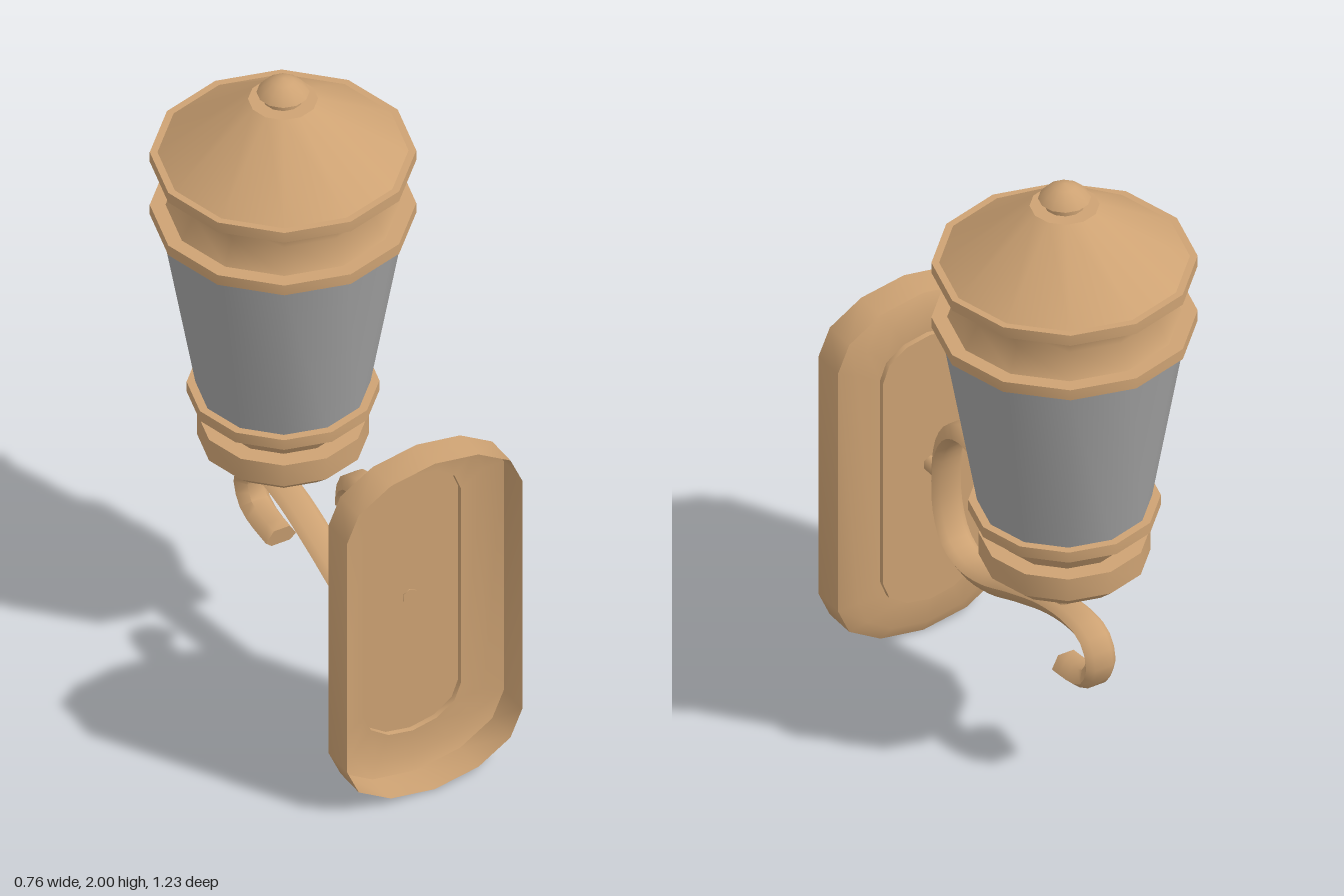
import * as THREE from 'three';
import { toCreasedNormals } from 'three/addons/utils/BufferGeometryUtils.js';

// Skin a list of equal-length point loops, optionally closing the ends.
function loft(loops, capStart, capEnd, crease) {
  const n = loops[0].length, idx = [];
  loops.slice(1).forEach((_, i) => {
    for (let j = 0; j < n; j++) {
      const k = (j + 1) % n;
      const a = i * n + j, b = i * n + k, c = b + n, d = a + n;
      idx.push(a, b, c, a, c, d);
    }
  });
  const last = (loops.length - 1) * n;
  for (let j = 1; j < n - 1; j++) {
    if (capStart) idx.push(0, j + 1, j);
    if (capEnd) idx.push(last, last + j, last + j + 1);
  }
  const g = new THREE.BufferGeometry();
  g.setAttribute('position', new THREE.Float32BufferAttribute(loops.flat(2), 3));
  g.setIndex(idx);
  return toCreasedNormals(g, crease);
}

// Upright outline with half-ellipse ends, six steps per end.
function plateLoop(hw, y0, y1, ry, z) {
  const pts = [];
  for (let i = 0; i <= 6; i++) {
    const a = (i / 6) * Math.PI;
    pts.push([hw * Math.cos(a), y1 - ry + ry * Math.sin(a), z]);
  }
  for (let i = 0; i <= 6; i++) {
    const a = Math.PI + (i / 6) * Math.PI;
    pts.push([hw * Math.cos(a), y0 + ry + ry * Math.sin(a), z]);
  }
  return pts;
}

export function createModel() {
  const group = new THREE.Group();
  const bronze = new THREE.MeshStandardMaterial({ color: 0xcda273, side: THREE.DoubleSide });
  bronze.name = 'bronze';
  const glass = new THREE.MeshStandardMaterial({ color: 0xa3a3a3, side: THREE.DoubleSide });
  glass.name = 'greyGlass';

  const add = (name, geo, mat, parent = group) => {
    const m = new THREE.Mesh(geo, mat);
    m.name = name;
    parent.add(m);
    return m;
  };

  // Hollow wall plate, open at the back, with a stepped centre panel
  add('wallPlate', loft([
    plateLoop(0.16, 0.13, 1.05, 0.11, 0.475),
    plateLoop(0.16, 0.13, 1.05, 0.11, 0.492),
    plateLoop(0.235, 0.04, 1.135, 0.15, 0.492),
    plateLoop(0.29, 0, 1.175, 0.175, 0.512),
    plateLoop(0.29, 0, 1.175, 0.175, 0.615),
  ], true, false, 0.7), bronze);

  // Rod joining the plate to the scroll
  const rod = add('wallRod', new THREE.CylinderGeometry(0.025, 0.025, 0.078, 6), bronze);
  rod.rotation.x = Math.PI / 2;
  rod.position.set(0, 0.605, 0.439);

  // S-shaped scroll arm, path given as [z, y]
  const path = new THREE.CatmullRomCurve3([
    [0.13, 0.73], [0.143, 0.785], [0.185, 0.825], [0.25, 0.835], [0.32, 0.81],
    [0.38, 0.73], [0.402, 0.6], [0.39, 0.49], [0.345, 0.41], [0.26, 0.375],
    [0.14, 0.39], [-0.015, 0.45], [-0.175, 0.505], [-0.305, 0.522], [-0.385, 0.505],
    [-0.418, 0.44], [-0.385, 0.37], [-0.33, 0.35], [-0.245, 0.34],
  ].map(([z, y]) => new THREE.Vector3(0, y, z)));
  const section = [[0.026, 0.028], [-0.026, 0.028], [-0.05, -0.01],
    [-0.03, -0.028], [0.03, -0.028], [0.05, -0.01]];
  const arm = [];
  for (let i = 0; i <= 48; i++) {
    const p = path.getPointAt(i / 48), t = path.getTangentAt(i / 48);
    arm.push(section.map(([x, v]) => [x, p.y + v * t.z, p.z - v * t.y]));
  }
  add('scrollArm', loft(arm, true, true, 1.05), bronze);

  // Lantern: twelve-sided turned parts, profiles run bottom to top as [radius, y]
  const lantern = new THREE.Group();
  lantern.name = 'lantern';
  lantern.position.z = -0.235;
  group.add(lantern);
  const turned = (name, pts, mat = bronze, crease = 0.62) => {
    const g = new THREE.LatheGeometry(pts.map(([r, y]) => new THREE.Vector2(r, y)), 12);
    return add(name, toCreasedNormals(g, crease), mat, lantern);
  };
  const band = (name, r, y0, y1) => turned(name, [[0, y0], [r, y0], [r, y1], [0, y1]]);

  turned('stem', [[0.025, 0.51], [0.025, 0.61]]);
  turned('bowl', [[0, 0.598], [0.115, 0.623], [0.19, 0.667], [0.245, 0.715]]);
  band('lowerRing', 0.245, 0.715, 0.79);
  turned('lowerTaper', [[0.19, 0.79], [0.24, 0.87]]);
  band('glassSeat', 0.275, 0.87, 0.905);
  turned('glassShade', [[0.25, 0.905], [0.355, 1.51]], glass);
  band('lowerRim', 0.38, 1.51, 1.545);
  turned('waist', [[0.335, 1.545], [0.295, 1.617], [0.337, 1.7]], bronze, 1.2);
  band('upperRim', 0.38, 1.7, 1.735);
  turned('roof', [[0.358, 1.735], [0.1, 1.925], [0, 1.925]]);
  turned('finialNeck', [[0.058, 1.925], [0.058, 1.95]]);
  turned('finialDome', [[0, 1.95], [0.076, 1.95], [0.058, 1.972], [0.032, 1.99], [0, 2]]);

  return group;
}
